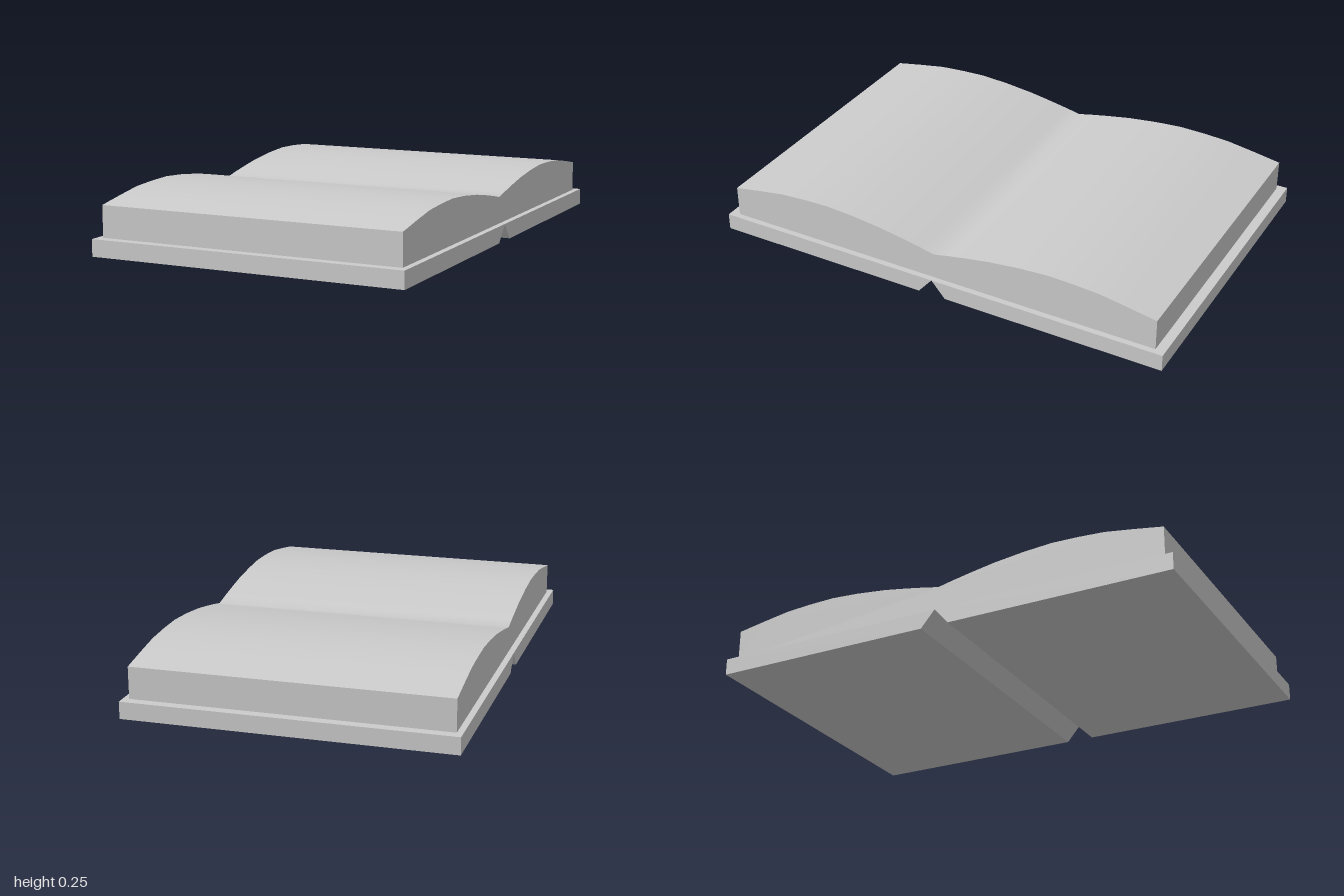
import * as THREE from 'three';
import { toCreasedNormals } from 'three/addons/utils/BufferGeometryUtils.js';

const material = new THREE.MeshStandardMaterial({ color: 0xcccccc });

// Extrude a (z, y) profile along x, centred on x = 0
function extrudeAlongX(name, profile, width) {
  const shape = new THREE.Shape(profile.map(([z, y]) => new THREE.Vector2(z, y)));
  const geometry = new THREE.ExtrudeGeometry(shape, { depth: width, bevelEnabled: false });
  geometry.translate(0, 0, -width / 2).rotateY(-Math.PI / 2);
  const mesh = new THREE.Mesh(toCreasedNormals(geometry, 0.6), material);
  mesh.name = name;
  return mesh;
}

export function createModel() {
  const book = new THREE.Group();
  book.name = 'openBook';

  // Cover boards, bevelled towards the spine to leave a V groove underneath
  const coverHalf = [[0, 0.07], [0.06, 0], [1, 0], [1, 0.07]];
  for (const [name, side] of [['frontCover', 1], ['backCover', -1]]) {
    book.add(extrudeAlongX(name, coverHalf.map(([z, y]) => [z * side, y]), 1.33));
  }

  // Page block: both halves arch up and dip into the gutter
  const arch = [
    [0.96, 0.2], [0.84, 0.221], [0.72, 0.24], [0.61, 0.247], [0.5, 0.25],
    [0.38, 0.242], [0.25, 0.227], [0.15, 0.21], [0.06, 0.193],
  ];
  const mirrored = arch.map(([z, y]) => [-z, y]).reverse();
  const pages = [[-0.96, 0.07], [0.96, 0.07], ...arch, [0, 0.18], ...mirrored];
  book.add(extrudeAlongX('pages', pages, 1.28));

  return book;
}
